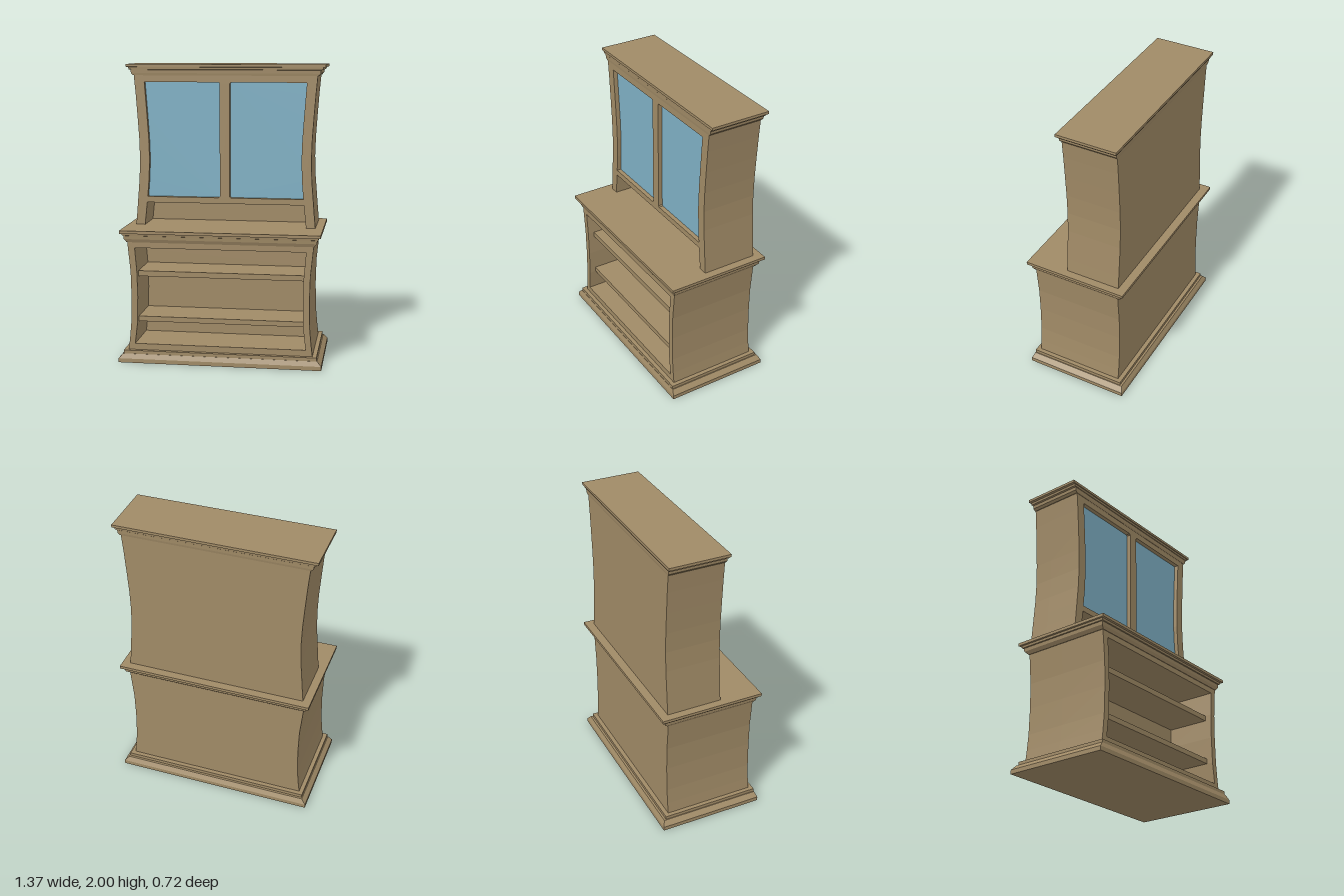
import * as THREE from 'three';

const wood = new THREE.MeshStandardMaterial({ color: 0xa08a66 });
wood.name = 'wood';
const glass = new THREE.MeshStandardMaterial({ color: 0x7fb0c4 });
glass.name = 'blueGlass';

// Curved flanks as [y, half width], from bottom to top
const lowerFlank = [[0.07, 0.625], [0.16, 0.614], [0.27, 0.604], [0.45, 0.6], [0.62, 0.604], [0.72, 0.614], [0.83, 0.625]];
const upperFlank = [[0.9, 0.617], [1.0, 0.608], [1.1, 0.6], [1.22, 0.59], [1.36, 0.585], [1.5, 0.589], [1.65, 0.599], [1.8, 0.61], [1.93, 0.622]];
const openingFlank = [[0.125, 0.578], [0.27, 0.561], [0.45, 0.557], [0.62, 0.561], [0.785, 0.575]];
const windowFlank = [[1.1, 0.534], [1.22, 0.524], [1.36, 0.519], [1.5, 0.523], [1.65, 0.533], [1.8, 0.544], [1.88, 0.55]];

const vec = (x, y) => new THREE.Vector2(x, y);

// Symmetric closed outline from a flank
function outline(flank) {
  return [
    ...flank.map(([y, w]) => vec(w, y)),
    ...[...flank].reverse().map(([y, w]) => vec(-w, y)),
  ];
}

// One window outline: curved outer edge, straight inner edge with small clipped corners
function windowOutline(side) {
  const inner = 0.034, c = 0.008;
  return [
    ...windowFlank.map(([y, w]) => vec(side * w, y)),
    vec(side * (inner + c), 1.88), vec(side * inner, 1.88 - c),
    vec(side * inner, 1.1 + c), vec(side * (inner + c), 1.1),
  ];
}

function slab(name, points, back, front, material, holes = []) {
  const shape = new THREE.Shape(points);
  shape.holes = holes.map((h) => new THREE.Path(h));
  const geometry = new THREE.ExtrudeGeometry(shape, { depth: front - back, bevelEnabled: false });
  geometry.translate(0, 0, back);
  const mesh = new THREE.Mesh(geometry, material);
  mesh.name = name;
  return mesh;
}

// Rectangular moulding lofted through rings [y, half width, front z, back z]
function moulding(name, rings) {
  const p = [];
  const corners = rings.map(([y, w, f, b]) => [[-w, y, f], [w, y, f], [w, y, b], [-w, y, b]]);
  const quad = (a, b, c, d) => p.push(...a, ...b, ...c, ...a, ...c, ...d);
  for (let i = 0; i < corners.length - 1; i++) {
    const lo = corners[i], hi = corners[i + 1];
    for (let k = 0; k < 4; k++) {
      const n = (k + 1) % 4;
      quad(lo[k], lo[n], hi[n], hi[k]);
    }
  }
  const [a, b, c, d] = corners[0];
  quad(d, c, b, a);
  quad(...corners[corners.length - 1]);
  const geometry = new THREE.BufferGeometry();
  geometry.setAttribute('position', new THREE.Float32BufferAttribute(p, 3));
  geometry.computeVertexNormals();
  const mesh = new THREE.Mesh(geometry, wood);
  mesh.name = name;
  return mesh;
}

function lowerCabinet() {
  const group = new THREE.Group();
  group.name = 'lowerCabinet';
  group.add(slab('lowerBack', outline(lowerFlank), -0.3, -0.02, wood));
  group.add(slab('lowerFrame', outline(lowerFlank), -0.02, 0.32, wood, [outline(openingFlank)]));
  // Two shelves reaching just into the side walls
  for (const [bottom, top] of [[0.27, 0.305], [0.583, 0.62]]) {
    const shelf = new THREE.Mesh(new THREE.BoxGeometry(1.14, top - bottom, 0.305), wood);
    shelf.position.set(0, (bottom + top) / 2, 0.1225);
    shelf.name = 'shelf';
    group.add(shelf);
  }
  return group;
}

function upperCabinet() {
  const group = new THREE.Group();
  group.name = 'upperCabinet';
  group.add(slab('upperBack', outline(upperFlank), -0.3, -0.17, wood));
  // Frame with an open niche below the windows
  const frame = [
    ...outline(upperFlank),
    vec(-0.555, 0.9), vec(-0.538, 1.06), vec(0.538, 1.06), vec(0.555, 0.9),
  ];
  group.add(slab('upperFrame', frame, -0.17, 0.08, wood, [windowOutline(-1), windowOutline(1)]));
  for (const side of [-1, 1]) {
    group.add(slab(side > 0 ? 'leftPane' : 'rightPane', windowOutline(side), 0.042, 0.05, glass));
  }
  return group;
}

export function createModel() {
  const group = new THREE.Group();
  group.name = 'hutchCabinet';
  group.add(lowerCabinet(), upperCabinet());
  group.add(moulding('plinth', [
    [0, 0.686, 0.362, -0.362], [0.028, 0.686, 0.362, -0.362], [0.06, 0.657, 0.35, -0.345],
    [0.06, 0.652, 0.348, -0.33], [0.083, 0.652, 0.348, -0.33],
  ]));
  group.add(moulding('counter', [
    [0.823, 0.628, 0.324, -0.304], [0.845, 0.645, 0.333, -0.328], [0.868, 0.648, 0.335, -0.332],
    [0.87, 0.655, 0.342, -0.34], [0.885, 0.657, 0.344, -0.342],
    [0.885, 0.671, 0.36, -0.358], [0.905, 0.671, 0.36, -0.358],
  ]));
  group.add(moulding('cornice', [
    [1.925, 0.626, 0.082, -0.302], [1.94, 0.64, 0.084, -0.305], [1.962, 0.643, 0.085, -0.306],
    [1.965, 0.655, 0.088, -0.31], [1.98, 0.658, 0.089, -0.312],
    [1.982, 0.674, 0.094, -0.32], [2, 0.674, 0.094, -0.32],
  ]));
  return group;
}
